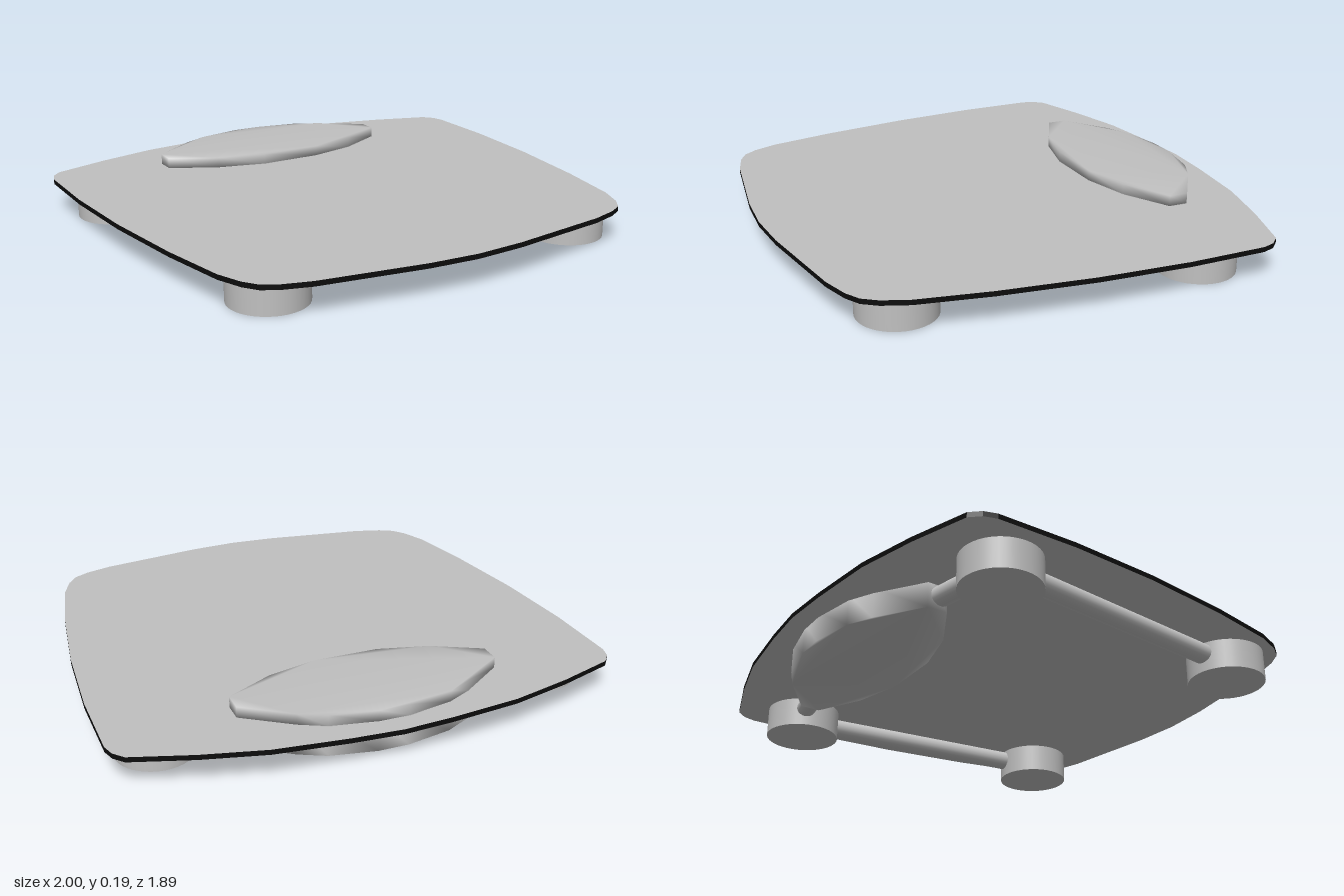
import * as THREE from 'three';
import { mergeVertices } from 'three/addons/utils/BufferGeometryUtils.js';

const silver = new THREE.MeshStandardMaterial({ name: 'silver grey', color: 0xc0c0c0 });
const black = new THREE.MeshStandardMaterial({ name: 'black', color: 0x0c0c0c });

const toPoints = (list) => list.map(([x, z]) => new THREE.Vector2(x, z));
// Mirror a half outline (from back centre to front centre) across x = 0
const mirrored = (half) => [...half, ...half.filter(([x]) => x > 0).reverse().map(([x, z]) => [-x, z])];

// Upright slab with an (x, z) outline between two heights
function slab(outline, bottom, top, hole) {
  const shape = new THREE.Shape(toPoints(outline));
  if (hole) shape.holes.push(new THREE.Path(toPoints(hole)));
  const geo = new THREE.ExtrudeGeometry(shape, { depth: top - bottom, bevelEnabled: false });
  return geo.rotateX(Math.PI / 2).translate(0, top, 0);
}

// Share vertices so the shading runs softly over the edges
function soften(geo) {
  geo.deleteAttribute('normal');
  geo.deleteAttribute('uv');
  geo.clearGroups();
  const merged = mergeVertices(geo, 1e-4);
  merged.computeVertexNormals();
  return merged;
}

// Sloping wall from an upper loop down to a lower loop
function funnel(upper, yUpper, lower, yLower) {
  const n = upper.length;
  const positions = [
    ...upper.flatMap(([x, z]) => [x, yUpper, z]),
    ...lower.flatMap(([x, z]) => [x, yLower, z]),
  ];
  const index = [];
  for (let i = 0; i < n; i++) {
    const j = (i + 1) % n;
    index.push(i, n + i, j, j, n + i, n + j);
  }
  const geo = new THREE.BufferGeometry();
  geo.setAttribute('position', new THREE.Float32BufferAttribute(positions, 3));
  geo.setIndex(index);
  geo.computeVertexNormals();
  return geo;
}

// Round bar between two points
function bar(from, to, radius) {
  const a = new THREE.Vector3(...from), b = new THREE.Vector3(...to);
  const geo = new THREE.CylinderGeometry(radius, radius, a.distanceTo(b), 20);
  const mesh = new THREE.Mesh(geo, silver);
  mesh.position.copy(a).add(b).multiplyScalar(0.5);
  mesh.quaternion.setFromUnitVectors(new THREE.Vector3(0, 1, 0), b.sub(a).normalize());
  return mesh;
}

export function createModel() {
  const model = new THREE.Group();
  model.name = 'bathroomScale';
  const add = (name, mesh, parent = model) => {
    mesh.name = name;
    parent.add(mesh);
    return mesh;
  };

  // Standing plate with a dark rim
  const plateOutline = mirrored([
    [0, -0.95], [0.2, -0.937], [0.48, -0.905], [0.72, -0.845], [0.95, -0.77], [0.985, -0.73],
    [1, -0.68], [1, -0.36], [0.975, 0], [0.925, 0.37], [0.87, 0.65], [0.83, 0.75],
    [0.79, 0.805], [0.73, 0.838], [0.62, 0.87], [0.2, 0.932], [0, 0.945],
  ]);
  add('plate', new THREE.Mesh(slab(plateOutline, 0.12, 0.14), [silver, black]));

  // Display housing, passing through the plate
  const housing = new THREE.Group();
  housing.name = 'displayHousing';
  model.add(housing);
  const housingOutline = mirrored([
    [0.06, -0.87], [0.24, -0.835], [0.34, -0.785], [0.52, -0.66],
    [0.52, -0.58], [0.33, -0.48], [0.13, -0.43],
  ]);
  const recessRim = [
    [-0.31, -0.8], [-0.24, -0.83], [0.24, -0.83], [0.31, -0.8],
    [0.29, -0.5], [0.13, -0.48], [-0.13, -0.48], [-0.29, -0.5],
  ];
  const recessFloor = [
    [-0.25, -0.75], [-0.25, -0.78], [0.25, -0.78], [0.25, -0.75],
    [0.25, -0.54], [0.13, -0.54], [-0.13, -0.54], [-0.25, -0.54],
  ];
  add('housingBase', new THREE.Mesh(soften(slab(housingOutline, 0.02, 0.142)), silver), housing);
  add('housingBezel', new THREE.Mesh(soften(slab(housingOutline, 0.142, 0.185, recessRim)), silver), housing);
  add('recessWall', new THREE.Mesh(funnel(recessRim, 0.185, recessFloor, 0.145), silver), housing);

  // Screen with its readout segments
  const screen = new THREE.Mesh(new THREE.BoxGeometry(0.5, 0.006, 0.24), silver);
  screen.position.set(0, 0.145, -0.66);
  add('screen', screen, housing);
  const segment = (x, z, w, d) => {
    const mesh = new THREE.Mesh(new THREE.BoxGeometry(w, 0.004, d), black);
    mesh.position.set(x, 0.15, z);
    add('readoutSegment', mesh, housing);
  };
  for (const x of [-0.135, -0.027, 0.085, 0.195]) {
    segment(x + 0.004, -0.63, 0.018, 0.036);
    segment(x - 0.002, -0.588, 0.018, 0.036);
  }
  segment(0.136, -0.577, 0.02, 0.02);
  segment(0.06, -0.74, 0.055, 0.018);

  // Feet and the bars that join them
  for (const [side, s] of [['left', 1], ['right', -1]]) {
    for (const [end, x, z] of [['Front', 0.67, 0.632], ['Back', 0.79, -0.53]]) {
      const foot = new THREE.Mesh(new THREE.CylinderGeometry(0.153, 0.153, 0.12, 40), silver);
      foot.position.set(s * x, 0.06, z);
      add(side + end + 'Foot', foot);
    }
    add(side + 'SideBar', bar([s * 0.685, 0.078, 0.6], [s * 0.805, 0.078, -0.5], 0.041));
    add(side + 'HousingBar', bar([s * 0.75, 0.078, -0.56], [s * 0.45, 0.078, -0.62], 0.04));
  }
  return model;
}
